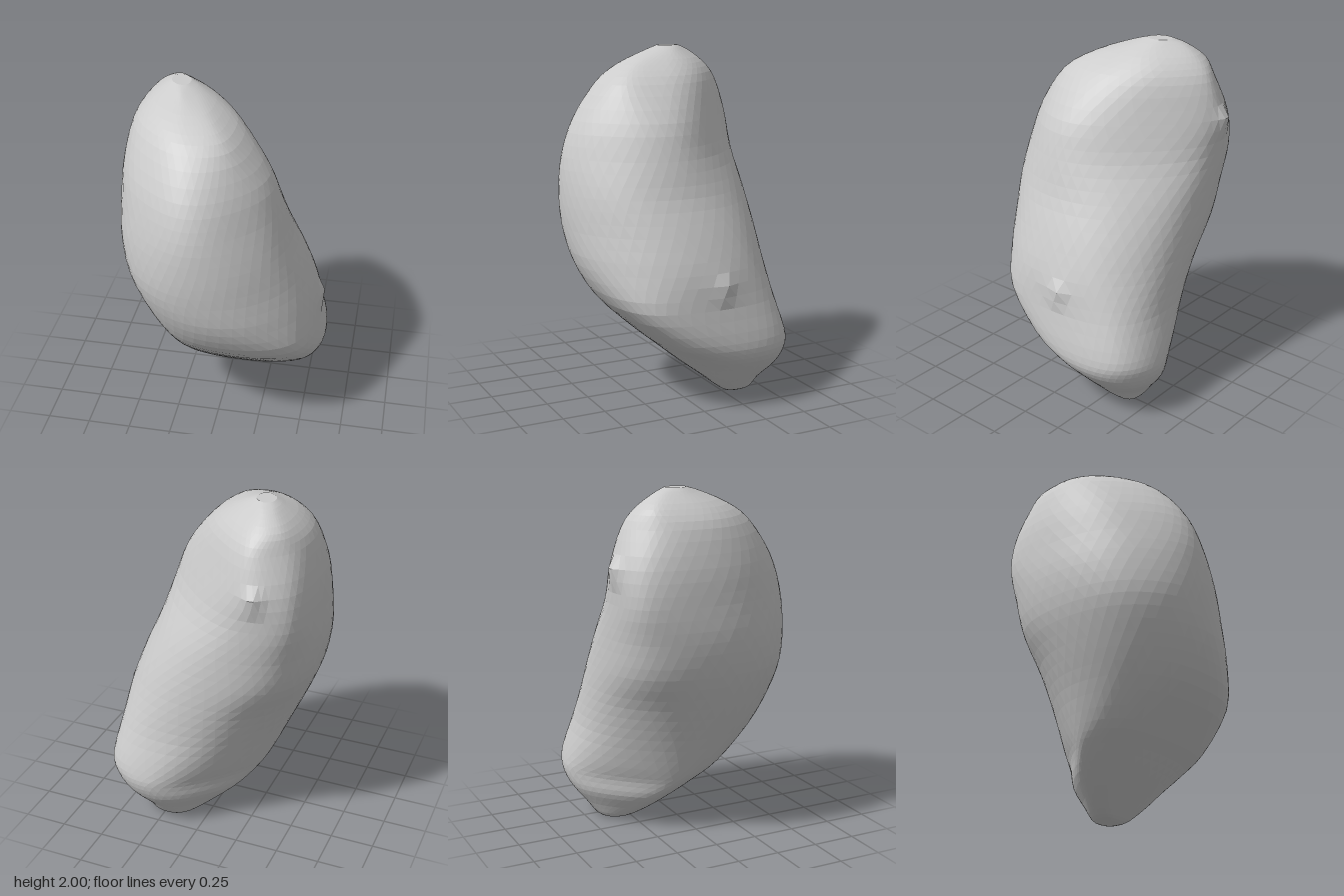
import * as THREE from 'three';

// Horizontal sections from bottom to top: y, then the distance of the eight
// tangent lines at 0, 45, 90 ... 315 degrees, turning from +x towards +z
const SECTIONS = [
  [0, 0.27, -0.03, -0.28, -0.325, -0.15, 0.145, 0.39, 0.445],
  [0.02, 0.32, 0.03, -0.24, -0.25, -0.08, 0.19, 0.43, 0.5],
  [0.1, 0.4, 0.13, -0.14, -0.12, 0.04, 0.24, 0.49, 0.56],
  [0.2, 0.5, 0.235, -0.01, 0.02, 0.16, 0.3, 0.565, 0.66],
  [0.3, 0.58, 0.35, 0.11, 0.15, 0.25, 0.32, 0.6, 0.715],
  [0.4, 0.595, 0.46, 0.23, 0.27, 0.31, 0.36, 0.59, 0.72],
  [0.6, 0.57, 0.575, 0.44, 0.42, 0.4, 0.43, 0.55, 0.65],
  [0.8, 0.545, 0.566, 0.55, 0.525, 0.49, 0.51, 0.54, 0.575],
  [1.0, 0.48, 0.53, 0.59, 0.595, 0.565, 0.61, 0.54, 0.5],
  [1.2, 0.4, 0.49, 0.6, 0.605, 0.6, 0.66, 0.54, 0.41],
  [1.4, 0.34, 0.43, 0.58, 0.58, 0.6, 0.7, 0.54, 0.31],
  [1.6, 0.265, 0.36, 0.505, 0.53, 0.585, 0.68, 0.54, 0.24],
  [1.8, 0.11, 0.24, 0.355, 0.43, 0.535, 0.6, 0.475, 0.17],
  [1.9, -0.02, 0.08, 0.2, 0.33, 0.465, 0.55, 0.4, 0.1],
  [1.97, -0.15, -0.14, 0.02, 0.2, 0.38, 0.45, 0.3, 0.01],
  [2, -0.22, -0.23, -0.08, 0.143, 0.33, 0.37, 0.22, -0.033],
];

// Small pimples: centre, push direction and radius
const BUMPS = [
  { at: [-0.35, 1.58, -0.53], push: [0, 0, -0.04], radius: 0.05 },
  { at: [0.56, 0.72, -0.09], push: [0.03, 0, 0], radius: 0.06 },
];

// Smooth closed outline touching all eight tangent lines
function outline(distances, sides, shift) {
  const corners = distances.map((h, k) => {
    const angle = (k * Math.PI) / 4;
    const along = distances[(k + 1) % 8] * Math.SQRT2 - h;
    return new THREE.Vector2(h, along).rotateAround(new THREE.Vector2(), angle);
  });
  const arcs = corners.map((c, k) => new THREE.QuadraticBezierCurve(
    c.clone().lerp(corners[(k + 7) % 8], 0.5), c, c.clone().lerp(corners[(k + 1) % 8], 0.5)));
  const perArc = sides / 8;
  return Array.from({ length: sides }, (_, j) =>
    arcs[Math.floor(j / perArc)].getPoint(((j % perArc) + shift) / perArc));
}

function beanGeometry(rings, sides) {
  const curves = [0, 3, 6].map((k) => new THREE.CatmullRomCurve3(
    SECTIONS.map((s) => new THREE.Vector3(s[k], s[k + 1], s[k + 2])), false, 'catmullrom', 0.5));
  const positions = [], index = [];

  for (let i = 0; i <= rings; i++) {
    const [y, ...distances] = curves.flatMap((c) => c.getPoint(i / rings).toArray());
    for (const { x, y: z } of outline(distances, sides, (i % 2) / 2)) {
      const p = new THREE.Vector3(x, y, z);
      for (const { at, push, radius } of BUMPS) {
        const d = p.distanceTo(new THREE.Vector3(...at)) / radius;
        p.addScaledVector(new THREE.Vector3(...push), Math.exp(-d * d));
      }
      positions.push(p.x, p.y, p.z);
    }
  }

  // Staggered triangles between neighbouring rings
  for (let i = 0; i < rings; i++) {
    for (let j = 0; j < sides; j++) {
      const k = (j + 1) % sides;
      const a = i * sides + j, b = i * sides + k;
      const c = (i + 1) * sides + j, d = (i + 1) * sides + k;
      if (i % 2) index.push(a, d, b, a, c, d);
      else index.push(a, c, b, b, c, d);
    }
  }

  // Small flat caps at both ends
  const top = rings * sides;
  for (let j = 1; j < sides - 1; j++) {
    index.push(0, j, j + 1, top, top + j + 1, top + j);
  }

  const geometry = new THREE.BufferGeometry();
  geometry.setAttribute('position', new THREE.Float32BufferAttribute(positions, 3));
  geometry.setIndex(index);
  geometry.computeVertexNormals();
  return geometry;
}

export function createModel() {
  const group = new THREE.Group();
  group.name = 'bean';
  const body = new THREE.Mesh(
    beanGeometry(45, 48),
    new THREE.MeshStandardMaterial({ color: 0xcccccc, flatShading: true }));
  body.name = 'beanBody';
  group.add(body);
  return group;
}
